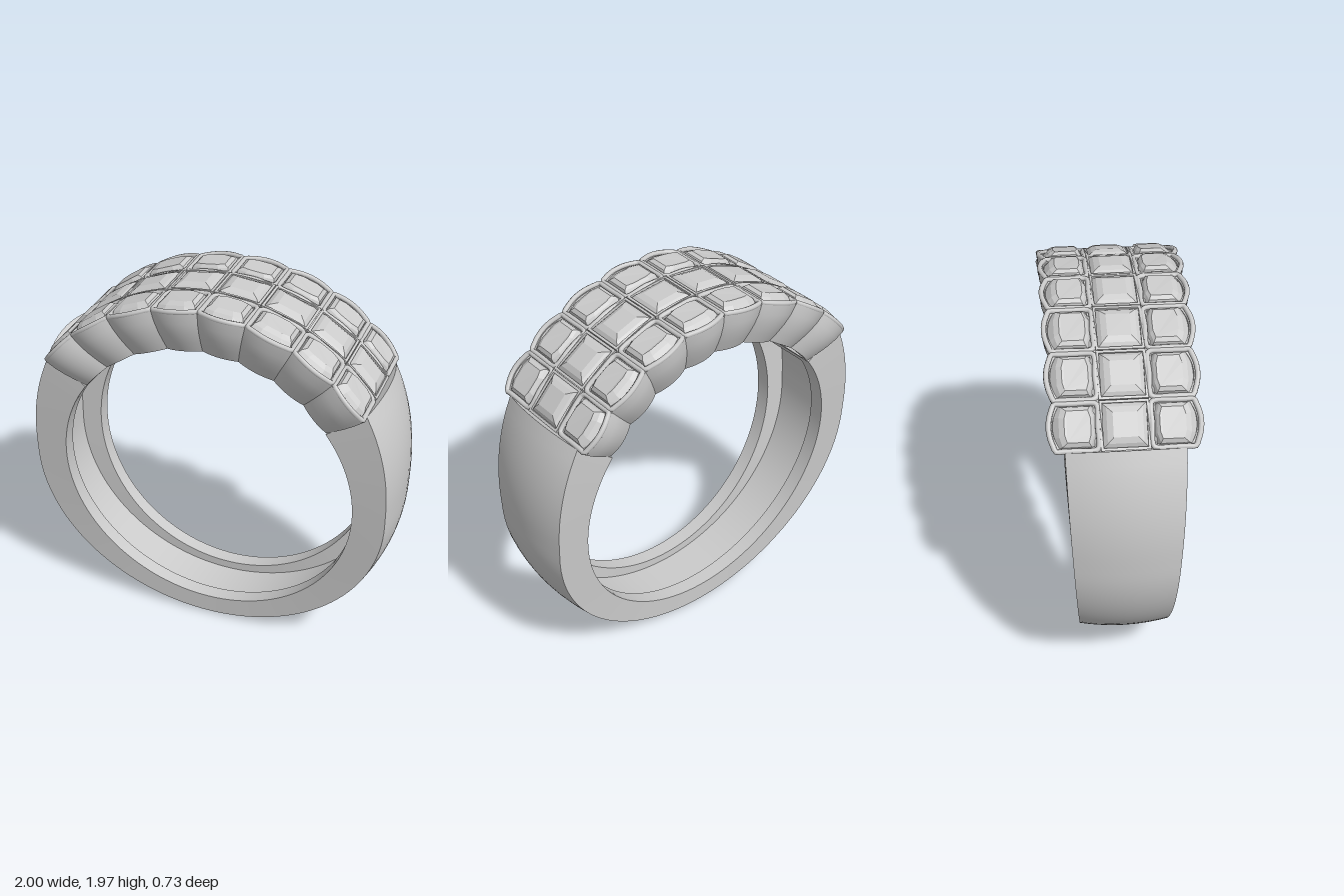
import * as THREE from 'three';
import { toCreasedNormals } from 'three/addons/utils/BufferGeometryUtils.js';

const CY = 0.92, INNER = 0.795, R0 = 1.04, HEIGHT = 0.235;
const rad = THREE.MathUtils.degToRad, lerp = THREE.MathUtils.lerp;
const smooth = new THREE.MeshStandardMaterial({ color: 0xcccccc, side: THREE.DoubleSide });
const faceted = new THREE.MeshStandardMaterial({ color: 0xcccccc, flatShading: true });

function mesh(name, geo, mat = smooth) {
  const m = new THREE.Mesh(geo, mat);
  m.name = name;
  return m;
}

// point on the ring: arc length t from angle c (0 = top), side offset z, radius r
function place(t, z, r, c) {
  const a = c + t / R0;
  return new THREE.Vector3(r * Math.sin(a), CY + r * Math.cos(a), z);
}

// bends a flat extrusion (x = arc, y = side, z = height) onto the ring, with a bowl-like flare
function bend(geo, c, base, flare) {
  const p = geo.attributes.position;
  for (let i = 0; i < p.count; i++) {
    const d = p.getZ(i);
    const k = flare ? 0.8 + 0.2 * Math.sin(d / HEIGHT * Math.PI / 2) : 1;
    const v = place(p.getX(i), -p.getY(i) * k, base + d, c);
    p.setXYZ(i, v.x, v.y, v.z);
  }
  return toCreasedNormals(geo, 0.5);
}

// stacked cross-sections, closed around, with fan caps
function loft(loops) {
  const n = loops[0].length, last = (loops.length - 1) * n, index = [];
  for (let i = 0; i < loops.length - 1; i++)
    for (let j = 0; j < n; j++) {
      const a = i * n + j, b = i * n + (j + 1) % n;
      index.push(a, b, a + n, b, b + n, a + n);
    }
  for (let j = 1; j < n - 1; j++) index.push(0, j + 1, j, last, last + j, last + j + 1);
  const geo = new THREE.BufferGeometry().setFromPoints(loops.flat());
  geo.setIndex(index);
  geo.computeVertexNormals();
  return geo;
}

// domed, tapering band with a channel hollowed out of its inside
function band() {
  const section = (a, hollow) => {
    const c = Math.cos(a), s = Math.sin(a);
    const R = c < 0 ? 1 / Math.hypot(s, c / 0.914) : 1 + 0.16 * Math.pow(Math.asin(c), 1.35);
    const edge = R - 0.035 - 0.02 * c;
    const y = THREE.MathUtils.clamp((CY + R * c) / 1.55, 0, 1);
    const w = 0.205 + 0.075 * (1 - Math.pow(1 - y, 1.32));
    const lip = w - 0.082, floor = hollow ? edge - 0.058 : INNER, pts = [];
    for (let k = 0; k <= 10; k++) {
      const u = k / 5 - 1;
      pts.push([u * w, edge + (R - edge) * (1 - u * u)]);
    }
    pts.push([w, INNER], [lip, INNER], [lip, floor], [-lip, floor], [-lip, INNER], [-w, INNER]);
    return pts.map(([z, r]) => place(0, z, r, a));
  };
  const start = rad(54), end = rad(306), wall = rad(4);
  const loops = [section(start, false), section(start + wall, false)];
  for (let i = 0; i <= 90; i++) loops.push(section(lerp(start + wall, end - wall, i / 90), true));
  loops.push(section(end - wall, false), section(end, false));
  return toCreasedNormals(loft(loops), 0.45);
}

// straight run along the arc, divided so that it bends
function run(path, t0, t1, z) {
  for (let k = 0; k <= 6; k++) path.lineTo(lerp(t0, t1, k / 6), z);
}

function rect(path, t, z) {
  path.moveTo(-t, -z);
  run(path, -t, t, -z);
  run(path, t, -t, z);
  path.closePath();
  return path;
}

// scalloped setting with three open cells; bar = half the width of the bars
function setting(h, c, bar) {
  const s = new THREE.Shape();
  s.moveTo(-h, -0.33);
  s.quadraticCurveTo(0, -0.39, h, -0.33);
  s.lineTo(h, 0.33);
  s.quadraticCurveTo(0, 0.39, -h, 0.33);
  const t = h - bar;
  s.holes.push(rect(new THREE.Path(), t, 0.117 - bar));
  for (const m of [1, -1]) {
    const hole = new THREE.Path();
    hole.moveTo(-t, m * (0.117 + bar));
    run(hole, -t, t, m * (0.117 + bar));
    hole.lineTo(t, m * (0.33 - bar));
    hole.quadraticCurveTo(0, m * (0.385 - bar), -t, m * (0.33 - bar));
    s.holes.push(hole);
  }
  const geo = new THREE.ExtrudeGeometry(s, { depth: HEIGHT, steps: 4, bevelEnabled: false, curveSegments: 10 });
  return bend(geo, c, INNER - 0.002, true);
}

// raised square frame round the middle stone
function frame(h, c) {
  const s = rect(new THREE.Shape(), h - 0.002, 0.115);
  s.holes.push(rect(new THREE.Path(), h - 0.015, 0.102));
  return bend(new THREE.ExtrudeGeometry(s, { depth: 0.06, bevelEnabled: false }), c, 0.985, false);
}

// rounded wire rim round a side stone
function rim(h, c, m) {
  const t = h - 0.008, pts = [];
  for (let k = 0; k <= 8; k++) {
    const u = k / 4 - 1;
    pts.push([u * t, 0.32 + 0.03 * (1 - u * u)]);
  }
  pts.push([t, 0.29], [t, 0.22], [t, 0.14], [t - 0.01, 0.125], [0, 0.125],
    [-t + 0.01, 0.125], [-t, 0.14], [-t, 0.22], [-t, 0.29]);
  const curve = new THREE.CatmullRomCurve3(pts.map(([x, z]) => place(x, m * z, 1.032, c)), true);
  return new THREE.TubeGeometry(curve, 56, 0.013, 8, true);
}

// cut stone: an outline passed through [radius, arc scale, side scale, centre] levels
function stone(outline, levels, c) {
  return loft(levels.map(([r, kt, kz, mid]) => outline.map(([t, z]) => place(t * kt, mid + z * kz, r, c))));
}

export function createModel() {
  const ring = new THREE.Group();
  ring.name = 'ring';
  ring.add(mesh('band', band()));

  const edges = [-54, -41, -27.5, -13.5, 0, 13.5, 27.5, 41, 54].map(rad);
  for (let i = 0; i < 8; i++) {
    const c = (edges[i] + edges[i + 1]) / 2, h = (edges[i + 1] - edges[i]) / 2 * R0;
    const row = new THREE.Group();
    row.name = 'stoneRow' + (i + 1);
    row.add(mesh('setting', setting(h, c, 0.025)), mesh('middleFrame', frame(h, c)));

    const t = h - 0.015;
    const square = [[-t, -0.102], [-t, 0.102], [t, 0.102], [t, -0.102]];
    row.add(mesh('middleStone', stone(square,
      [[0.87, 0.45, 0.45, 0], [1, 1, 1, 0], [1.035, 1, 1, 0], [1.05, 0.82, 0.82, 0], [1.06, 0.55, 0.55, 0]], c), faceted));

    // barrel-shaped side stones with long end facets and a broad table
    const barrel = [[-t, -0.085], [-t, 0.085], [-0.5 * t, 0.104], [0.5 * t, 0.104],
      [t, 0.085], [t, -0.085], [0.5 * t, -0.104], [-0.5 * t, -0.104]];
    for (const m of [1, -1]) {
      row.add(mesh('sideRim', rim(h, c, m)));
      row.add(mesh('sideStone', stone(barrel,
        [[0.88, 0.42, 0.42, m * 0.215], [0.99, 0.98, 0.98, m * 0.23], [1.012, 1, 1, m * 0.23],
          [1.045, 0.88, 0.76, m * 0.224], [1.058, 0.7, 0.58, m * 0.218]], c), faceted));
    }
    ring.add(row);
  }
  return ring;
}
